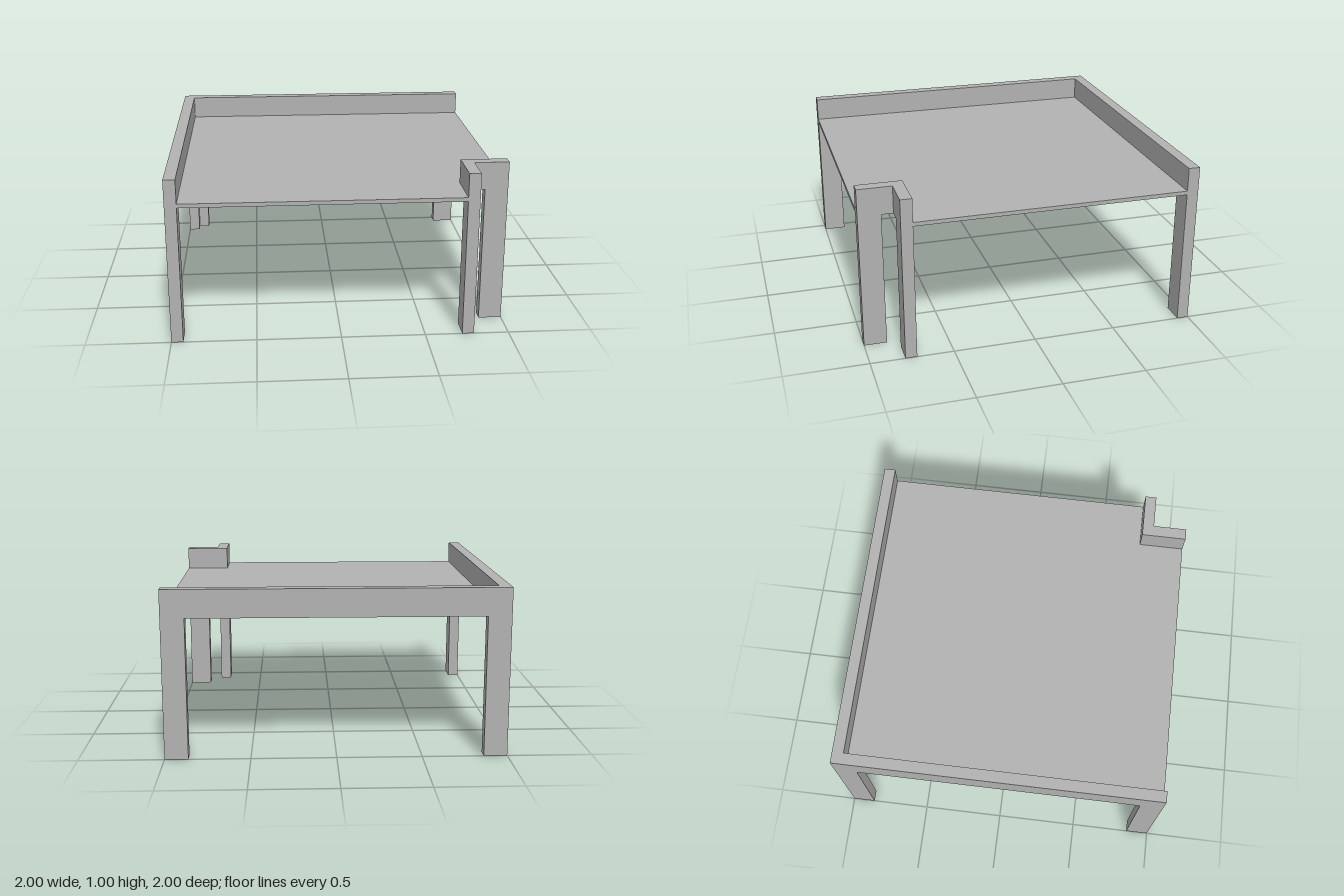
import * as THREE from 'three';

const T = 0.07;       // wall thickness
const UNDER = 0.833;  // underside of walls and deck
const DECK = 0.857;   // top of deck
const LEG = 0.138;    // full leg width

const polygon = (points) => new THREE.Shape(points.map(([x, y]) => new THREE.Vector2(x, y)));
const extrude = (points, depth) =>
  new THREE.ExtrudeGeometry(polygon(points), { depth, bevelEnabled: false });

export function createModel() {
  const group = new THREE.Group();
  const grey = new THREE.MeshStandardMaterial({ color: 0xb2b2b2 });
  grey.name = 'grey';

  const add = (name, geometry, x, y, z) => {
    const mesh = new THREE.Mesh(geometry, grey);
    mesh.name = name;
    mesh.position.set(x, y, z);
    group.add(mesh);
  };

  // Upright panel: a rail with a leg of the given width at its start and/or end
  const panel = (length, startLeg, endLeg) => {
    const start = startLeg ? [[0, 0], [startLeg, 0], [startLeg, UNDER]] : [[0, UNDER]];
    const end = endLeg
      ? [[length - endLeg, UNDER], [length - endLeg, 0], [length, 0]]
      : [[length, UNDER]];
    return extrude([...start, ...end, [length, 1], [0, 1]], T);
  };
  // Same panel, running along z, with its thickness towards -x
  const sidePanel = (...args) => panel(...args).rotateY(-Math.PI / 2);

  // Two long walls meeting at an L-shaped corner leg
  add('sideWall', sidePanel(2, LEG, LEG), -1 + T, 0, -1);
  add('backWall', panel(2 - T, LEG - T, LEG), -1 + T, 0, -1);

  // Short walls around the notched front corner
  const inner = 0.722, outer = inner + T;
  add('notchSideWall', sidePanel(1 - inner, 0, LEG), outer, 0, inner);
  add('notchBackWall', panel(1 - outer, 0, LEG), outer, 0, inner);

  // Thin deck with the corner cut away
  const e = -1 + T;
  const deck = extrude(
    [[e, e], [1, e], [1, inner], [inner, inner], [inner, 1], [e, 1]],
    DECK - UNDER
  ).rotateX(Math.PI / 2);
  add('deck', deck, 0, DECK, 0);

  return group;
}
